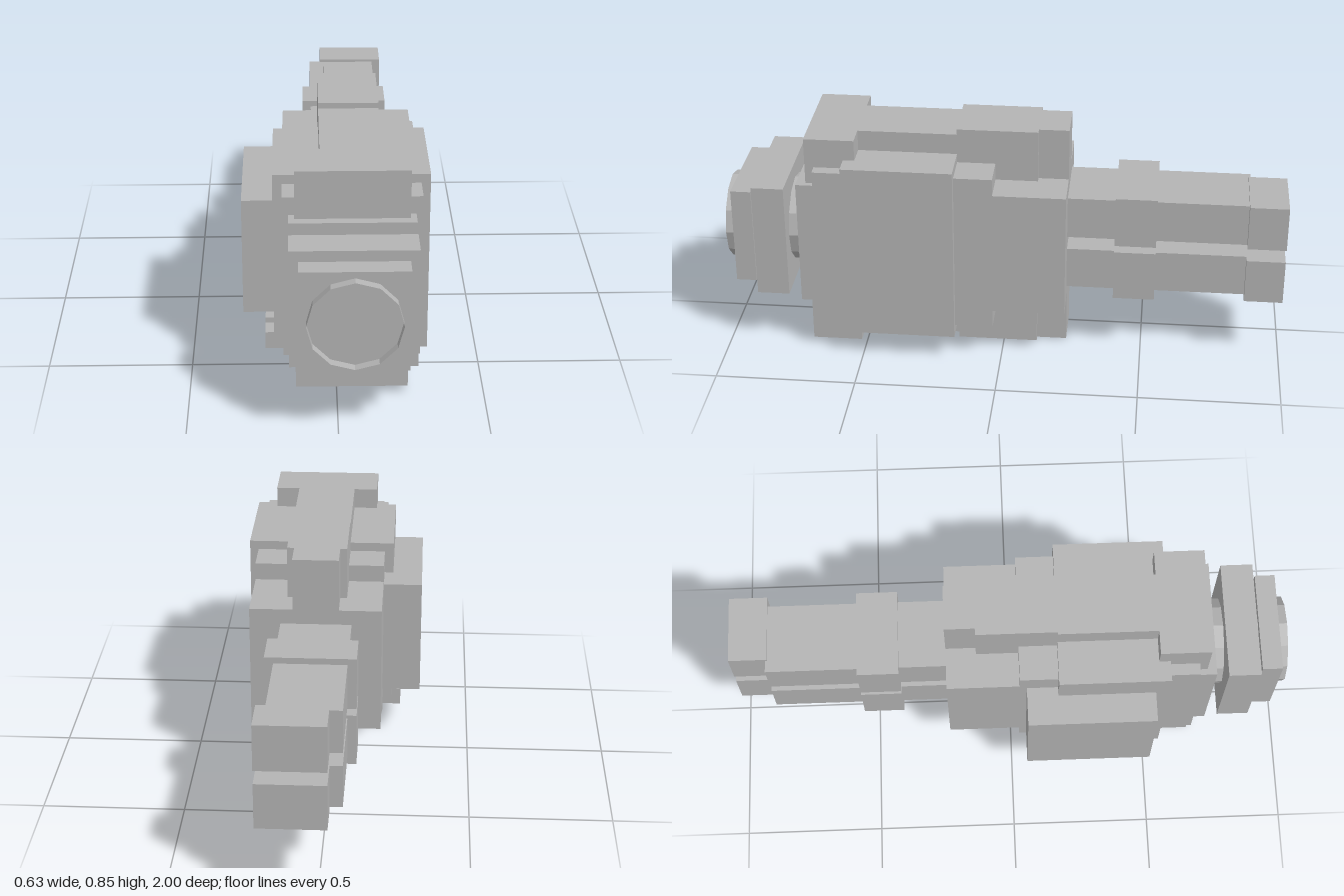
import * as THREE from 'three';

export function createModel() {
  const model = new THREE.Group();
  const grey = new THREE.MeshStandardMaterial({ color: 0xb4b4b4 });
  grey.name = 'grey';
  const openGrey = grey.clone();
  openGrey.name = 'grey';
  openGrey.side = THREE.DoubleSide;
  openGrey.flatShading = true;

  // Box given by its limits on each axis
  function box(name, [x0, x1], [y0, y1], [z0, z1]) {
    const mesh = new THREE.Mesh(new THREE.BoxGeometry(x1 - x0, y1 - y0, z1 - z0), grey);
    mesh.name = name;
    mesh.position.set((x0 + x1) / 2, (y0 + y1) / 2, (z0 + z1) / 2);
    model.add(mesh);
  }

  // Stepped main body
  box('bodyRear', [-0.18, 0.284], [0.194, 0.658], [-0.227, 0.04]);
  box('bodyCore', [-0.18, 0.284], [0.128, 0.72], [0.03, 0.66]);
  box('bodyBand', [-0.212, 0.315], [0.096, 0.752], [0.165, 0.555]);
  box('bodyFront', [-0.16, 0.262], [0.192, 0.657], [0.6, 0.725]);

  // T-shaped spine showing above and below the body
  box('spineFront', [-0.139, 0.242], [0.022, 0.827], [0.515, 0.692]);
  box('spineStem', [-0.054, 0.157], [0.022, 0.827], [0.165, 0.515]);
  box('spineMiddle', [-0.054, 0.157], [0, 0.847], [-0.12, 0.165]);
  box('spineRear', [-0.03, 0.132], [0, 0.847], [-0.227, -0.12]);

  // Open front tube passing through two square collars
  const tube = new THREE.Mesh(
    new THREE.CylinderGeometry(0.157, 0.157, 0.28, 12, 1, true), openGrey);
  tube.name = 'frontTube';
  tube.rotation.x = Math.PI / 2;
  tube.position.set(0.052, 0.425, 0.86);
  model.add(tube);
  box('frontCollarLarge', [-0.16, 0.262], [0.213, 0.637], [0.77, 0.885]);
  box('frontCollarSmall', [-0.128, 0.231], [0.245, 0.604], [0.895, 0.967]);

  // Twin rear bars, mirrored about mid height
  for (const [side, s] of [['upper', 1], ['lower', -1]]) {
    const span = (a, b) => (s > 0 ? [0.426 + a, 0.426 + b] : [0.426 - b, 0.426 - a]);
    box(side + 'Bar', [-0.075, 0.175], span(0.024, 0.178), [-0.87, -0.22]);
    box(side + 'BarCollar', [-0.106, 0.206], span(0.013, 0.2), [-0.543, -0.396]);
    box(side + 'BarTip', [-0.032, 0.206], span(0.024, 0.188), [-1, -0.863]);
  }

  // Side box and the row of small studs beneath it
  box('sideBox', [-0.318, -0.18], [0.213, 0.637], [0.055, 0.508]);
  for (let i = 0; i < 3; i++) {
    const z = 0.22 + i * 0.106;
    box('stud', [-0.244, -0.161], [0.065, 0.128], [z, z + 0.07]);
  }
  return model;
}
